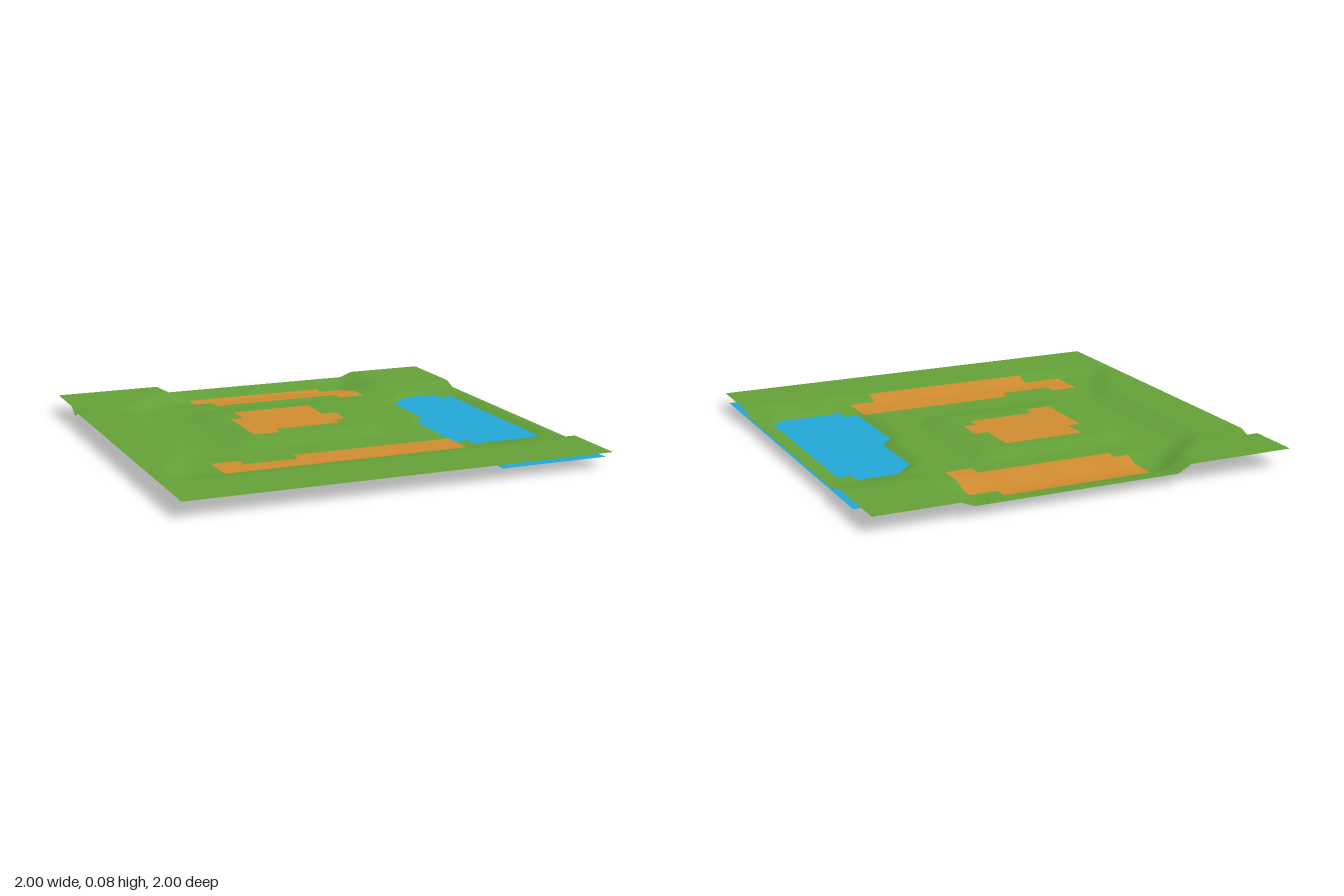
import * as THREE from 'three';

const N = 31;              // cells per side
const STEP = 2 / N;
const LEVEL = { floor: 0, trough: 0.024, base: 0.048, raised: 0.072, top: 0.083 };

// First and last column of the pond floor in a row of grid points
function pondSpan(r) {
  if (r < 9 || r > 23) return null;
  if (r === 9) return [26, 28];
  return r >= 16 && r <= 22 ? [24, 29] : [25, 29];
}

// Last column of the raised ground along the left edge, per row
function leftBank(r) {
  if (r <= 19) return 4;
  if (r <= 21) return 3;
  return r <= 23 ? 2 : 1;
}

// Terrain height at grid point (column c, row r)
function heightAt(c, r) {
  const pond = pondSpan(r);
  if (pond && c >= pond[0] && c <= pond[1]) return LEVEL.floor;
  if (c === 0 && r === 5) return LEVEL.base;                          // notch in the edge
  if (r <= 5 && c <= [8, 8, 8, 7, 6, 5][r]) return LEVEL.top;         // back corner plateau
  if (r >= 2 && r <= 4 && c >= 9 && c <= 23) return LEVEL.trough;     // sunken back strip
  if (r >= 26 || c <= leftBank(r)) return LEVEL.raised;               // front and side banks
  if (r <= 6 && c >= 25) return LEVEL.raised;                         // other back corner
  if (r >= 9 && r <= 18 && c >= 9 && c <= 19) return LEVEL.raised;    // central mound
  return LEVEL.base;
}

// Sandy patches as cell rectangles [c0, c1, r0, r1]
const SAND = [
  [10, 21, 2, 3], [10, 23, 3, 5], [11, 23, 5, 6], [21, 23, 6, 7],
  [11, 17, 10, 12], [10, 17, 12, 13], [10, 18, 13, 15], [10, 17, 15, 16], [10, 12, 16, 17],
  [5, 7, 22, 23], [11, 23, 22, 23], [5, 23, 23, 25], [8, 21, 25, 26],
];
const isSand = (c, r) => SAND.some(([a, b, d, e]) => c >= a && c < b && r >= d && r < e);

function buildTerrain(materials) {
  const geo = new THREE.PlaneGeometry(2, 2, N, N).rotateX(-Math.PI / 2);
  const pos = geo.attributes.position;
  for (let i = 0; i < pos.count; i++) {
    pos.setY(i, heightAt(i % (N + 1), Math.floor(i / (N + 1))));
  }
  geo.computeVertexNormals();

  // Sort the cells by material: grass first, then sand
  const old = geo.index.array;
  const lists = [[], []];
  for (let r = 0; r < N; r++) {
    for (let c = 0; c < N; c++) {
      const k = (r * N + c) * 6;
      lists[isSand(c, r) ? 1 : 0].push(...old.slice(k, k + 6));
    }
  }
  geo.setIndex([...lists[0], ...lists[1]]);
  geo.clearGroups();
  geo.addGroup(0, lists[0].length, 0);
  geo.addGroup(lists[0].length, lists[1].length, 1);
  const mesh = new THREE.Mesh(geo, materials);
  mesh.name = 'terrain';
  return mesh;
}

// Flat water sheet that shows only where the pond dips below it
function buildWater(material) {
  const outline = [[0.48, 0.94], [1, 0.94], [1, -0.79], [0.74, -0.79], [0.74, -0.6], [0.48, -0.42]];
  const shape = new THREE.Shape(outline.map(([x, z]) => new THREE.Vector2(x, -z)));
  const geo = new THREE.ShapeGeometry(shape).rotateX(-Math.PI / 2);
  const mesh = new THREE.Mesh(geo, material);
  mesh.name = 'water';
  mesh.position.y = 0.036;
  return mesh;
}

export function createModel() {
  const mat = (name, color) => {
    const m = new THREE.MeshStandardMaterial({ color, side: THREE.DoubleSide });
    m.name = name;
    return m;
  };
  const grass = mat('grass green', 0x63a037);
  const sand = mat('sand orange', 0xcf8c2f);
  const water = mat('water blue', 0x22a6d4);

  const group = new THREE.Group();
  group.name = 'landscape';
  group.add(buildTerrain([grass, sand]), buildWater(water));
  return group;
}
